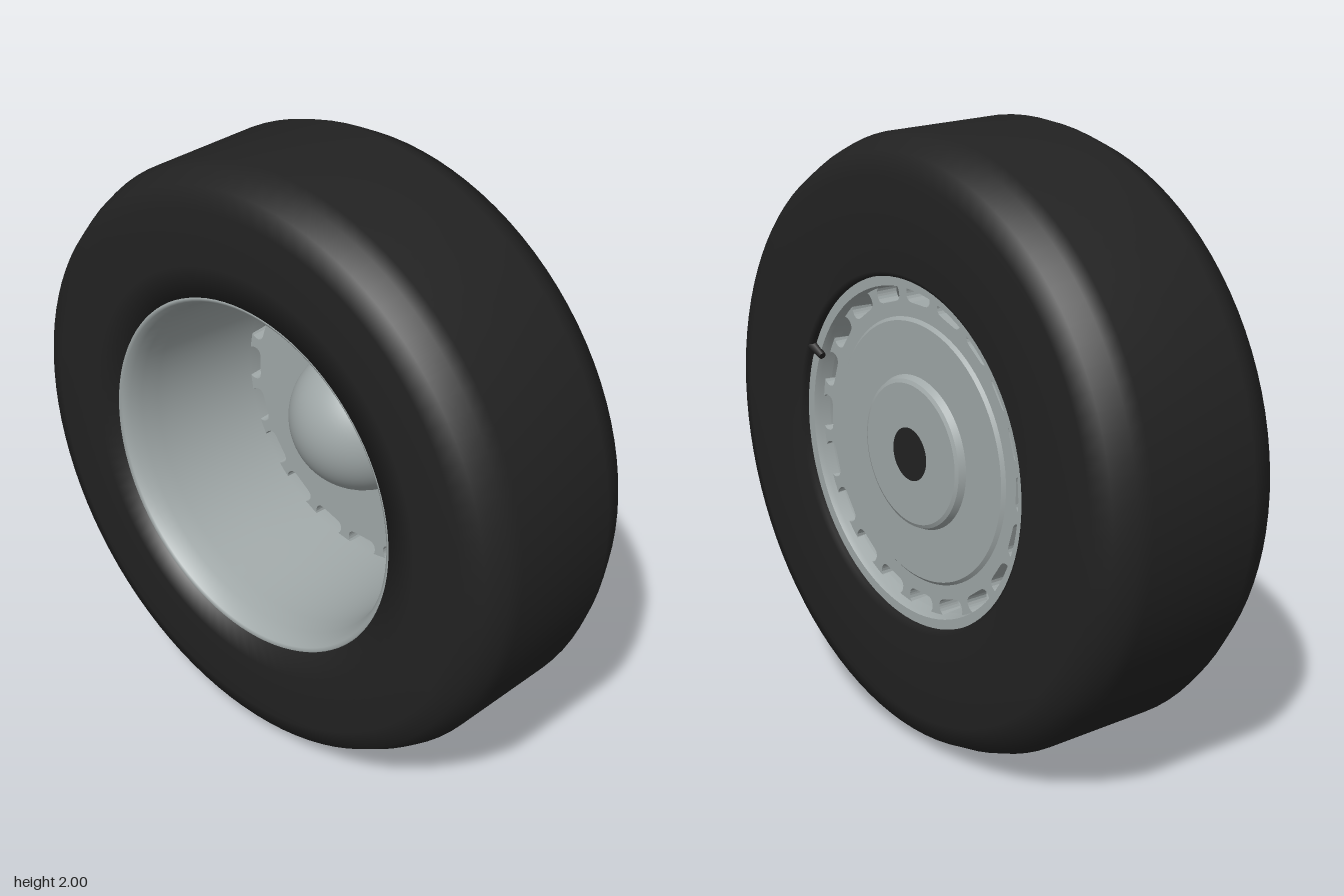
import * as THREE from 'three';
import { toCreasedNormals } from 'three/addons/utils/BufferGeometryUtils.js';

const rubber = new THREE.MeshStandardMaterial({ color: 0x222222 });
rubber.name = 'blackRubber';
const metal = new THREE.MeshStandardMaterial({ color: 0xa0a8a8 });
metal.name = 'greyMetal';

// Revolve [radius, z] pairs around the z axle; rising z faces outward
function revolve(points, crease) {
  const profile = points.map(([r, z]) => new THREE.Vector2(r, z));
  const geometry = new THREE.LatheGeometry(profile, 96).rotateX(Math.PI / 2);
  return crease ? toCreasedNormals(geometry, crease) : geometry;
}

// Vent hole with rounded corners, between two radii
function slotPath(angle) {
  const inner = 0.477, outer = 0.532, half = 0.06, c = 0.024;
  const corners = [[inner, -half], [outer, -half], [outer, half], [inner, half]];
  const points = [];
  corners.forEach(([r, t], i) => {
    const sr = r === inner ? 1 : -1, st = t < 0 ? 1 : -1;
    for (let k = 0; k <= 4; k++) {
      const a = (i + k / 4) * Math.PI / 2;
      points.push(new THREE.Vector2(r + sr * c - c * Math.cos(a), t + st * c - c * Math.sin(a + 0)));
    }
  });
  // Order the corner points around the slot centre
  const centre = (inner + outer) / 2;
  points.sort((p, q) => Math.atan2(p.y, p.x - centre) - Math.atan2(q.y, q.x - centre));
  return new THREE.Path(points.map((p) => p.rotateAround(new THREE.Vector2(), angle)));
}

export function createModel() {
  const model = new THREE.Group();
  model.name = 'wheel';
  const add = (name, geometry, material) => {
    const mesh = new THREE.Mesh(geometry, material);
    mesh.name = name;
    mesh.position.y = 1;
    model.add(mesh);
    return mesh;
  };

  // Tyre: flat tread, chamfered shoulders and flat sidewalls
  add('tyre', revolve([
    [0.565, -0.2], [0.565, -0.325], [0.58, -0.335], [0.7, -0.337], [0.88, -0.337], [0.95, -0.312],
    [0.985, -0.245], [1, -0.2], [1, 0], [1, 0.2], [0.985, 0.245], [0.95, 0.312],
    [0.88, 0.337], [0.7, 0.337], [0.6, 0.335], [0.595, 0.2],
  ]), rubber);

  // Rim barrel with rounded front lip and flared rear lip
  add('rimBarrel', revolve([
    [0.602, 0.325], [0.596, 0.334], [0.585, 0.328], [0.572, 0.305], [0.56, 0.265], [0.553, 0.2],
    [0.54, 0], [0.526, -0.2], [0.528, -0.25],
  ]), metal);
  add('rearRimLip', revolve([
    [0.526, -0.2], [0.53, -0.29], [0.537, -0.31], [0.572, -0.31],
  ], 0.6), metal).geometry.index;
  add('rearRimLipFace', new THREE.RingGeometry(0.533, 0.572, 96).rotateY(Math.PI).translate(0, 0, -0.311), metal);

  // Wheel disc pierced by twenty vents
  const disc = new THREE.Shape().absarc(0, 0, 0.535, 0, Math.PI * 2);
  for (let i = 0; i < 20; i++) disc.holes.push(slotPath(i * Math.PI / 10));
  add('ventedDisc', new THREE.ExtrudeGeometry(disc, {
    depth: 0.075, bevelEnabled: false, curveSegments: 96,
  }).translate(0, 0, -0.275), metal);

  // Raised rear plate and central boss
  add('rearPlate', revolve([[0, -0.285], [0.42, -0.285], [0.432, -0.274]], 0.4), metal);
  add('rearBoss', revolve([[0, -0.312], [0.228, -0.312], [0.24, -0.306], [0.25, -0.284]], 0.4), metal);
  add('axleCap', new THREE.CircleGeometry(0.086, 48).rotateY(Math.PI).translate(0, 0, -0.314), rubber);

  // Domed hub on the front of the disc
  add('hubDome', new THREE.SphereGeometry(0.245, 48, 20, 0, Math.PI * 2, 0, Math.PI / 2)
    .rotateX(Math.PI / 2).translate(0, 0, -0.2), metal);

  // Valve stem at the rear lip
  const valve = add('valveStem', new THREE.CylinderGeometry(0.012, 0.018, 0.06, 12), rubber);
  valve.rotation.z = Math.PI / 2 + 0.42;
  valve.position.set(0.545 * Math.cos(0.42), 1 + 0.545 * Math.sin(0.42), -0.315);

  return model;
}
